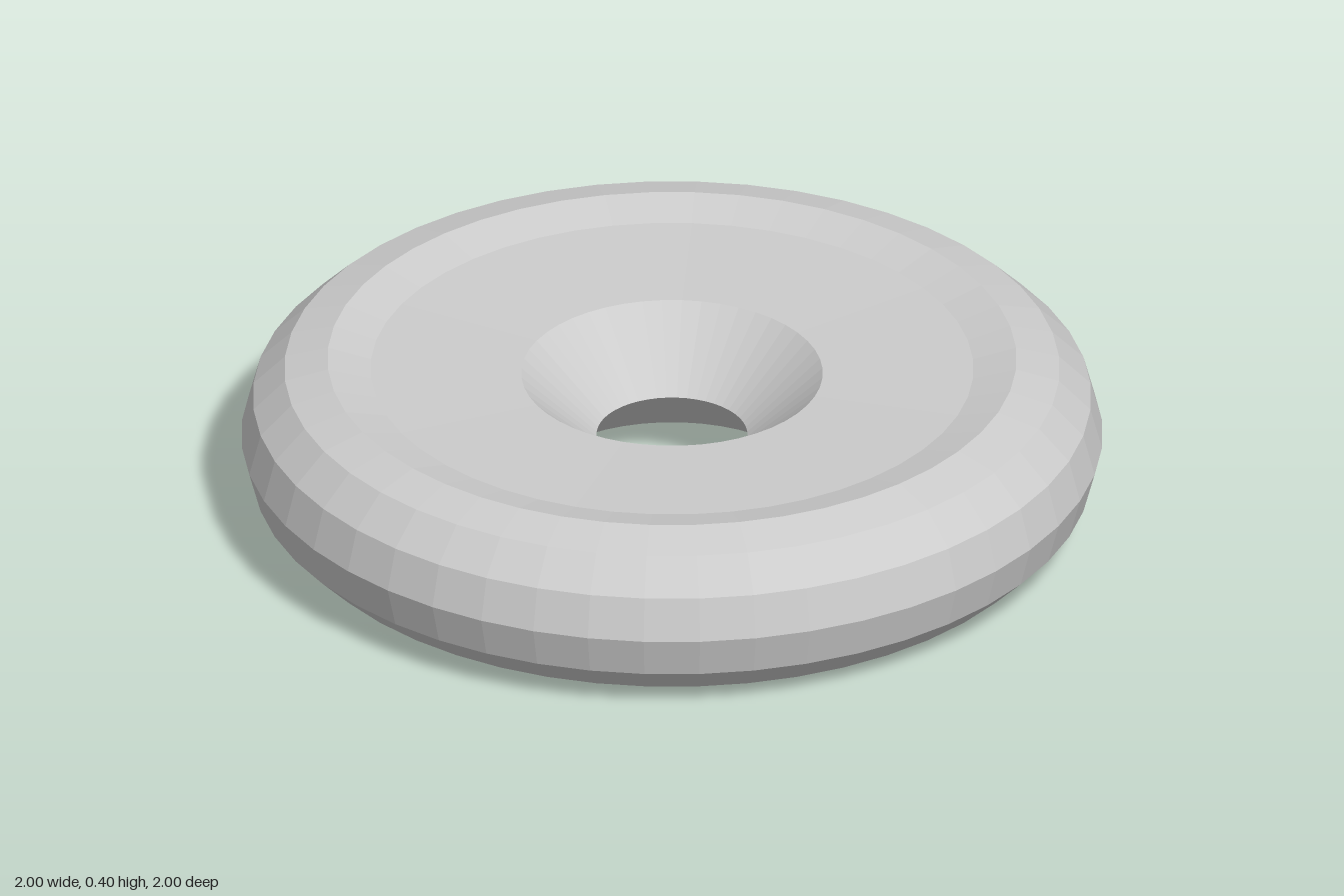
import * as THREE from 'three';

const SEGMENTS = 48;
const MID = 0.2; // height of the mirror plane

export function createModel() {
  const group = new THREE.Group();
  const material = new THREE.MeshStandardMaterial({ color: 0xcccccc, flatShading: true });

  // Revolves a profile of [radius, height above mid plane] pairs
  const revolve = (name, profile) => {
    const points = profile.map(([r, y]) => new THREE.Vector2(r, MID + y));
    const mesh = new THREE.Mesh(new THREE.LatheGeometry(points, SEGMENTS), material);
    mesh.name = name;
    group.add(mesh);
  };

  // Rounded outer rim: twelve-sided tube, without its buried inner part
  const rim = [];
  for (let deg = -120; deg <= 120; deg += 30) {
    const a = THREE.MathUtils.degToRad(deg);
    rim.push([0.8 + 0.2 * Math.cos(a), 0.2 * Math.sin(a)]);
  }
  revolve('outerRim', rim);

  // Slightly dished faces between rim and hole
  const rimEdge = 0.2 * Math.sin(Math.PI / 3);
  const holeEdge = 0.162;
  revolve('bottomFace', [[0.35, -holeEdge], [0.7, -rimEdge]]);
  revolve('topFace', [[0.7, rimEdge], [0.35, holeEdge]]);

  // Centre hole, countersunk from both sides to a narrow throat
  revolve('countersunkHole', [[0.35, holeEdge], [0.175, 0], [0.35, -holeEdge]]);

  return group;
}
